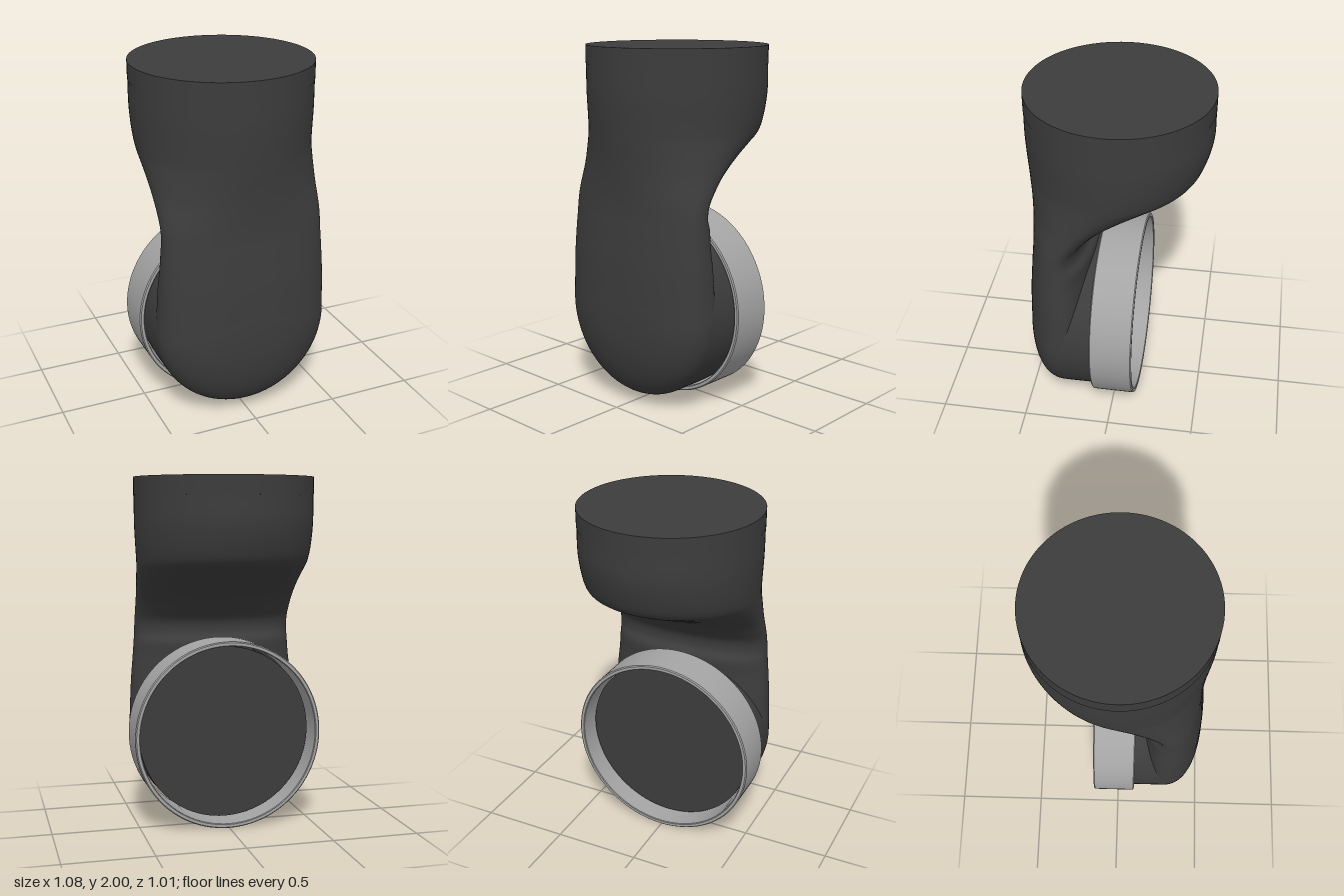
import * as THREE from 'three';
import { toCreasedNormals } from 'three/addons/utils/BufferGeometryUtils.js';

const CENTRE_Y = 0.545; // axis height of the lower socket
const dark = new THREE.MeshStandardMaterial({ color: 0x3c3c3c });
const grey = new THREE.MeshStandardMaterial({ color: 0xa4a4a4 });

// Signed power, used for superellipse outlines
const spow = (v, p) => Math.sign(v) * Math.pow(Math.abs(v), p);

// Housing sections: height, half width, roundness, then front z, middle z, back z
const sections = [
  [0.545, 0.505, 2.3, 0.505, 0.27, 0.12],
  [0.80, 0.492, 2.3, 0.496, 0.28, 0.12],
  [0.96, 0.478, 2.25, 0.484, 0.29, 0.12],
  [1.05, 0.471, 2.2, 0.477, 0.29, 0.115],
  [1.11, 0.468, 2.15, 0.472, 0.29, 0.145],
  [1.18, 0.467, 2.1, 0.47, 0.275, 0.135],
  [1.25, 0.468, 2.05, 0.471, 0.24, 0.07],
  [1.325, 0.471, 2, 0.474, 0.19, -0.02],
  [1.41, 0.477, 2, 0.479, 0.13, -0.18],
  [1.485, 0.484, 2, 0.486, 0.07, -0.34],
  [1.535, 0.489, 2, 0.49, 0.035, -0.43],
  [1.62, 0.497, 2, 0.497, 0.01, -0.474],
  [1.75, 0.504, 2, 0.504, 0, -0.504],
  [1.9, 0.504, 2, 0.504, 0, -0.504],
];

// Smooth skin through the horizontal sections
function loftHousing(rows = 90, cols = 96) {
  const shape = new THREE.CatmullRomCurve3(
    sections.map((s) => new THREE.Vector3(s[0], s[1], s[2])), false, 'catmullrom', 0.5);
  const depth = new THREE.CatmullRomCurve3(
    sections.map((s) => new THREE.Vector3(s[3], s[4], s[5])), false, 'catmullrom', 0.5);
  const pos = [];
  const index = [];
  for (let i = 0; i <= rows; i++) {
    const { x: y, y: w, z: n } = shape.getPoint(i / rows);
    const { x: front, y: mid, z: back } = depth.getPoint(i / rows);
    for (let j = 0; j < cols; j++) {
      const a = (j / cols) * Math.PI * 2;
      const s = spow(Math.sin(a), 2 / n);
      pos.push(w * spow(Math.cos(a), 2 / n), y, mid + s * (s > 0 ? front - mid : mid - back));
      if (i < rows) {
        const k = i * cols + j;
        const r = i * cols + ((j + 1) % cols);
        index.push(k, k + cols, r, r, k + cols, r + cols);
      }
    }
  }
  const geo = new THREE.BufferGeometry();
  geo.setAttribute('position', new THREE.Float32BufferAttribute(pos, 3));
  geo.setIndex(index);
  geo.computeVertexNormals();
  return geo;
}

// Lathe about the front-to-back axis; profile points are [radius, z]
function latheZ(profile, segments = 96) {
  const geo = new THREE.LatheGeometry(profile.map(([r, z]) => new THREE.Vector2(r, z)), segments);
  return geo.rotateX(Math.PI / 2).translate(0, CENTRE_Y, 0);
}

export function createModel() {
  const group = new THREE.Group();
  const add = (name, geo, mat) => {
    const mesh = new THREE.Mesh(geo, mat);
    mesh.name = name;
    group.add(mesh);
  };

  // Neck sweeping from the upper collar down to the socket
  add('housing', loftHousing(), dark);

  // Upper collar with a thin seam below it
  add('upperCollar', new THREE.CylinderGeometry(0.506, 0.506, 0.102, 96).translate(0, 1.949, 0), dark);

  // Round lower socket with a domed front and flat back
  const dome = [[0.5, -0.03], [0.505, 0.1]];
  for (let i = 0; i <= 24; i++) {
    const a = (i / 24) * Math.PI / 2;
    dome.push([0.505 * spow(Math.cos(a), 2 / 2.3), 0.27 + 0.235 * spow(Math.sin(a), 2 / 2.3)]);
  }
  dome[dome.length - 1][0] = 0;
  add('lowerSocket', latheZ(dome), dark);
  add('backDisc', new THREE.CircleGeometry(0.5, 96).rotateY(Math.PI).translate(0, CENTRE_Y, -0.03), dark);

  // Thin ring around the back of the socket
  const ring = [
    [0.515, 0.1], [0.515, -0.138], [0.519, -0.142], [0.535, -0.142], [0.541, -0.136],
    [0.541, 0.092], [0.535, 0.098], [0.519, 0.098], [0.515, 0.094],
  ];
  ring[0] = ring[ring.length - 1];
  add('socketRing', toCreasedNormals(latheZ(ring), 0.6), grey);

  return group;
}
